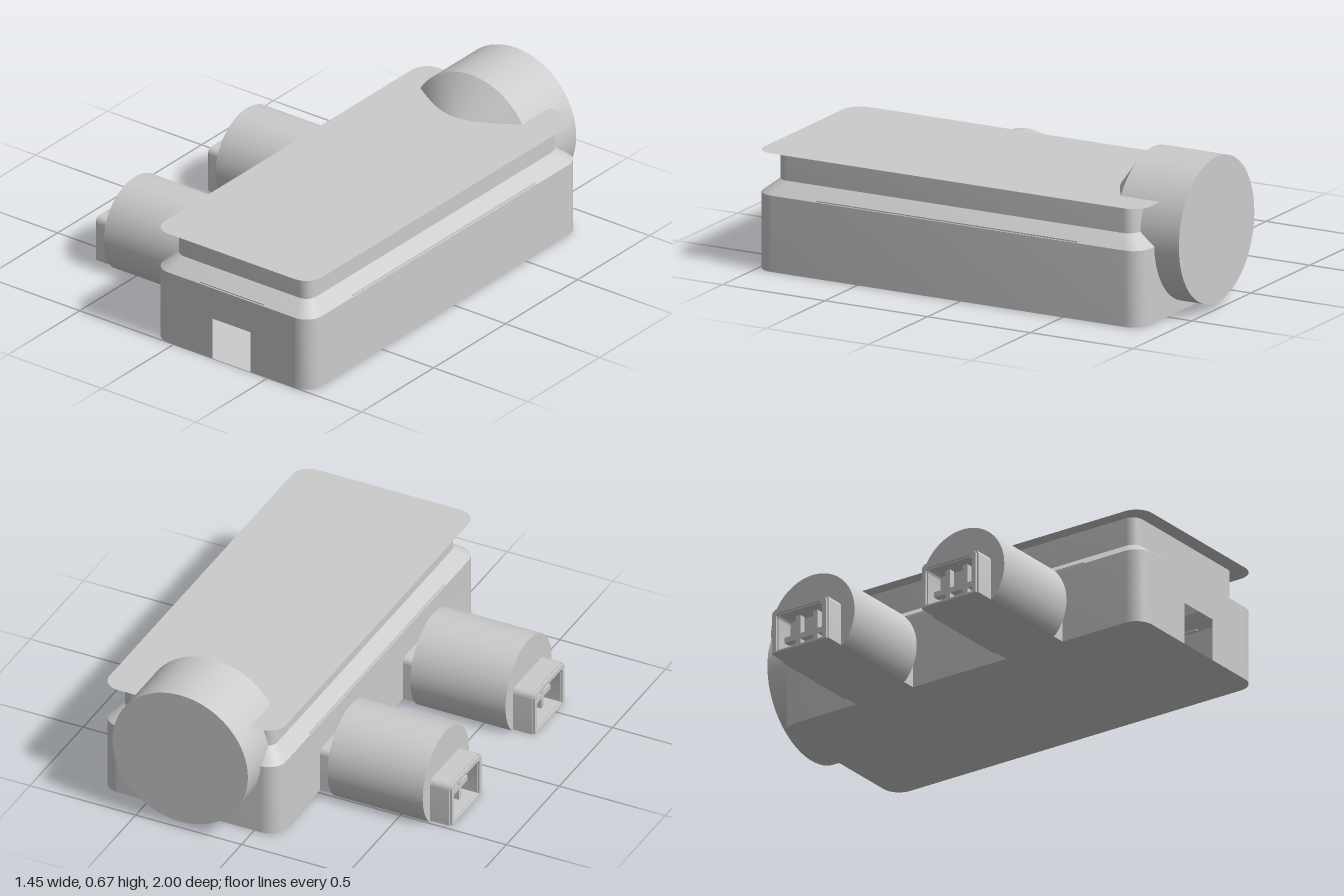
import * as THREE from 'three';
import { toCreasedNormals } from 'three/addons/utils/BufferGeometryUtils.js';

const material = new THREE.MeshStandardMaterial({ color: 0xcccccc, side: THREE.DoubleSide });
const CX = 0.3075, CZ = 0.06; // centre of the main body

function add(parent, name, geometry, x = 0, y = 0, z = 0) {
  const mesh = new THREE.Mesh(geometry, material);
  mesh.name = name;
  mesh.position.set(x, y, z);
  parent.add(mesh);
  return mesh;
}

// Rounded rectangle in plan; the last segment back to the start is the +z (front) side
function ring(w, d, r) {
  const pts = [], n = 8;
  const corners = [[1, 1, 90], [1, -1, 0], [-1, -1, -90], [-1, 1, -180]];
  for (const [sx, sz, start] of corners) {
    for (let i = 0; i <= n; i++) {
      const a = THREE.MathUtils.degToRad(start - 90 * i / n);
      pts.push(new THREE.Vector2(sx * (w / 2 - r) + r * Math.cos(a), sz * (d / 2 - r) + r * Math.sin(a)));
    }
  }
  return pts;
}

// Wall between two plan outlines, optionally leaving out the flat front
function band(a, ya, b, yb, openFront = false) {
  const pos = [], index = [], n = a.length;
  for (let i = 0; i < n; i++) pos.push(a[i].x, ya, a[i].y, b[i].x, yb, b[i].y);
  for (let i = 0; i < (openFront ? n - 1 : n); i++) {
    const p = 2 * i, q = 2 * ((i + 1) % n);
    index.push(p, q, p + 1, q, q + 1, p + 1);
  }
  const g = new THREE.BufferGeometry();
  g.setAttribute('position', new THREE.Float32BufferAttribute(pos, 3));
  g.setIndex(index);
  return toCreasedNormals(g, 0.5);
}

// Thin horizontal sheet from a plan outline, facing up or down
function sheet(points, up) {
  const shape = new THREE.Shape(points.map(p => new THREE.Vector2(p.x, up ? -p.y : p.y)));
  return new THREE.ShapeGeometry(shape).rotateX(up ? -Math.PI / 2 : Math.PI / 2);
}

// Extrude an outline drawn in the side plane along x, from x0 to x1
function alongX(shape, x0, x1, crease = 0.5) {
  const g = new THREE.ExtrudeGeometry(shape, { depth: x1 - x0, bevelEnabled: false, curveSegments: 48 });
  g.rotateY(Math.PI / 2).translate(x0, 0, 0);
  return toCreasedNormals(g, crease);
}

// Upright doorway outline with rounded top corners
function arch(path, half, height, r, bottom = 0) {
  path.moveTo(-half, bottom);
  path.lineTo(half, bottom);
  path.lineTo(half, height - r);
  path.absarc(half - r, height - r, r, 0, Math.PI / 2);
  path.lineTo(-half + r, height);
  path.absarc(-half + r, height - r, r, Math.PI / 2, Math.PI);
  path.lineTo(-half, bottom);
  return path;
}

function createBody() {
  const body = new THREE.Group();
  body.name = 'mainBody';
  body.position.set(CX, 0, CZ);
  const outer = ring(0.835, 1.88, 0.08);
  const inner = ring(0.715, 1.74, 0.05);

  add(body, 'floor', sheet(outer, false));
  add(body, 'lowerWall', band(outer, 0, outer, 0.335, true));
  add(body, 'slopedLedge', band(outer, 0.335, inner, 0.392));
  add(body, 'upperWall', band(inner, 0.392, inner, 0.52));
  add(body, 'roofPlate', sheet(outer, true), 0, 0.52, 0);

  // Front wall with its doorway
  const f = 0.3375, d = 0.1;
  const front = new THREE.Shape([
    [-f, 0], [-d, 0], [-d, 0.19], [d, 0.19], [d, 0], [f, 0], [f, 0.335], [-f, 0.335],
  ].map(p => new THREE.Vector2(...p)));
  add(body, 'frontWall', new THREE.ShapeGeometry(front), 0, 0, 0.94);

  // Slim strips lying on the ledge
  for (const s of [-1, 1]) {
    add(body, 'sideStrip', new THREE.BoxGeometry(0.012, 0.008, 1.27), s * 0.409, 0.339, 0.005);
    add(body, 'endStrip', new THREE.BoxGeometry(0.34, 0.008, 0.012), 0, 0.339, s * 0.93);
  }
  return body;
}

// Large round drum in the back wall, tapering to a point inside
function createDrum() {
  const profile = [[0, -1], [0.32, -1], [0.32, -0.69], [0, -0.434]].map(p => new THREE.Vector2(...p));
  const g = toCreasedNormals(new THREE.LatheGeometry(profile, 72), 0.5);
  return g.rotateX(Math.PI / 2);
}

// Side pod: flat-bottomed cylinder on a square passage
function createPod(z) {
  const pod = new THREE.Group();
  pod.name = 'sidePod';
  pod.position.z = z;

  const r = 0.217, cy = 0.149, a = Math.asin(cy / r);
  const barrel = new THREE.Shape();
  barrel.absarc(0, cy, r, -a, Math.PI + a);
  barrel.closePath();
  add(pod, 'barrel', alongX(barrel, -0.63, -0.18));

  add(pod, 'passage', alongX(arch(new THREE.Shape(), 0.147, 0.206, 0.03), -0.18, -0.1));

  // Hollow outer doorway with a slightly smaller lip
  const frame = arch(new THREE.Shape(), 0.147, 0.206, 0.03);
  frame.holes.push(arch(new THREE.Path(), 0.115, 0.175, 0.02, 0.012));
  add(pod, 'doorFrame', alongX(frame, -0.72, -0.62));
  const lip = arch(new THREE.Shape(), 0.14, 0.2, 0.025);
  lip.holes.push(arch(new THREE.Path(), 0.12, 0.18, 0.02, 0.008));
  add(pod, 'doorLip', alongX(lip, -0.73, -0.72));

  // Bars set back in the doorway
  for (const s of [-1, 1]) {
    add(pod, 'doorPost', new THREE.BoxGeometry(0.03, 0.165, 0.025), -0.66, 0.09, s * 0.045);
  }
  add(pod, 'doorRail', new THREE.BoxGeometry(0.03, 0.025, 0.23), -0.66, 0.075, 0);
  return pod;
}

export function createModel() {
  const model = new THREE.Group();
  model.name = 'building';
  model.add(createBody());
  add(model, 'rearDrum', createDrum(), 0.29, 0.35, 0);
  for (const z of [-0.332, 0.447]) model.add(createPod(z));
  return model;
}
